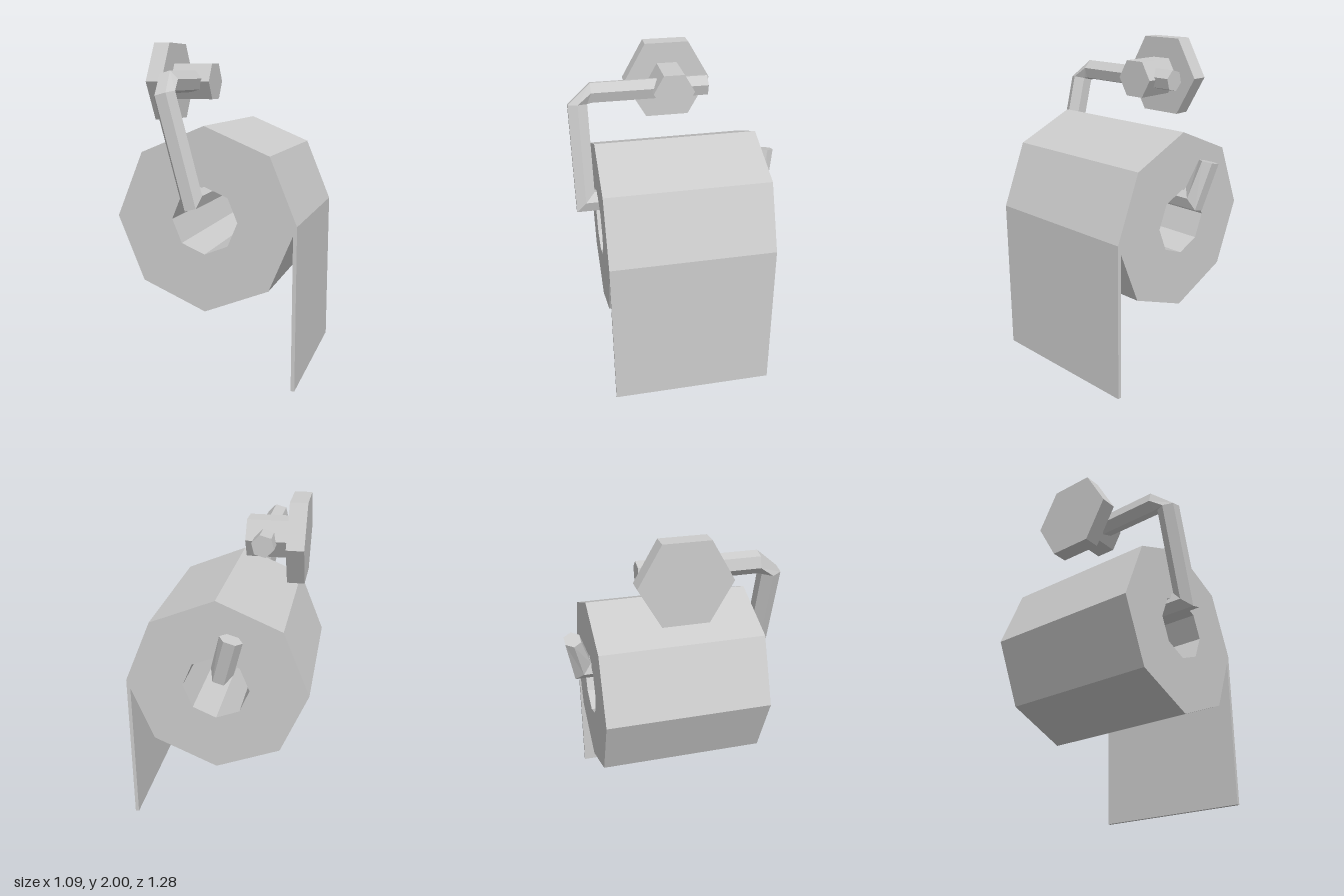
import * as THREE from 'three';

const material = new THREE.MeshStandardMaterial({
  color: 0xcccccc, flatShading: true, side: THREE.DoubleSide,
});

function addPart(group, name, geometry, x = 0, y = 0, z = 0) {
  const mesh = new THREE.Mesh(geometry, material);
  mesh.name = name;
  mesh.position.set(x, y, z);
  group.add(mesh);
}

function octagon(radius) {
  return Array.from({ length: 8 }, (_, i) => new THREE.Vector2(
    radius * Math.cos(i * Math.PI / 4), radius * Math.sin(i * Math.PI / 4)));
}

// Six-sided prism lying along x
function hexAlongX(radius, length) {
  return new THREE.CylinderGeometry(radius, radius, length, 6).rotateZ(Math.PI / 2);
}

// Six-sided rod bent within a plane tilted 15 degrees about z.
// Each station: centre height s and z, then the outward half-width (ws, wz).
function bentRod(stations) {
  const tilt = THREE.MathUtils.degToRad(14.9);
  const up = new THREE.Vector3(-Math.sin(tilt), Math.cos(tilt), 0);
  const side = new THREE.Vector3(Math.cos(tilt), Math.sin(tilt), 0);
  const corner = new THREE.Vector3(-0.05, 1.115, 0);
  const positions = [], index = [];

  for (const [s, z, ws, wz] of stations) {
    for (let j = 0; j < 6; j++) {
      const a = j * Math.PI / 3;
      const k = Math.sin(a) / Math.sin(Math.PI / 3);
      const p = corner.clone()
        .addScaledVector(up, s + ws * k)
        .addScaledVector(side, 0.068 * Math.cos(a));
      positions.push(p.x, p.y, z + wz * k);
    }
  }
  for (let i = 0; i < stations.length - 1; i++) {
    for (let j = 0; j < 6; j++) {
      const a = i * 6 + j, b = i * 6 + (j + 1) % 6;
      index.push(a, b, a + 6, b, b + 6, a + 6);
    }
  }
  // End caps
  const last = (stations.length - 1) * 6;
  for (let j = 1; j < 5; j++) {
    index.push(0, j + 1, j, last, last + j, last + j + 1);
  }
  const geometry = new THREE.BufferGeometry();
  geometry.setAttribute('position', new THREE.Float32BufferAttribute(positions, 3));
  geometry.setIndex(index);
  const flat = geometry.toNonIndexed();
  flat.computeVertexNormals();
  return flat;
}

export function createModel() {
  const group = new THREE.Group();
  const back = -0.487, depth = 0.997, rollY = 0.973;

  // Paper roll with an open core
  const ring = new THREE.Shape(octagon(0.547));
  ring.holes.push(new THREE.Path(octagon(0.2)));
  addPart(group, 'paperRoll',
    new THREE.ExtrudeGeometry(ring, { depth, bevelEnabled: false }), 0, rollY, back);

  // Loose sheet hanging straight down from the side
  addPart(group, 'hangingSheet',
    new THREE.BoxGeometry(0.022, rollY, depth), 0.536, rollY / 2, back + depth / 2);

  // Wall plate and the hub that carries the rod
  addPart(group, 'wallPlate', hexAlongX(0.274, 0.103), -0.41, 1.763, 0);
  addPart(group, 'hub', hexAlongX(0.127, 0.256), -0.234, 1.763, 0);

  // Holder rod: upper bar, front arm, spindle through the core, upturned end
  const w = 0.059;
  addPart(group, 'holderRod', bentRod([
    [0.67, -0.225, w, 0],
    [0.67, 0.498, w, 0],
    [0.605, 0.583, 0, w],
    [0, 0.583, -w, w],
    [0, -0.537, -w, -0.048],
    [0.234, -0.592, -0.003, -0.047],
  ]));

  return group;
}
